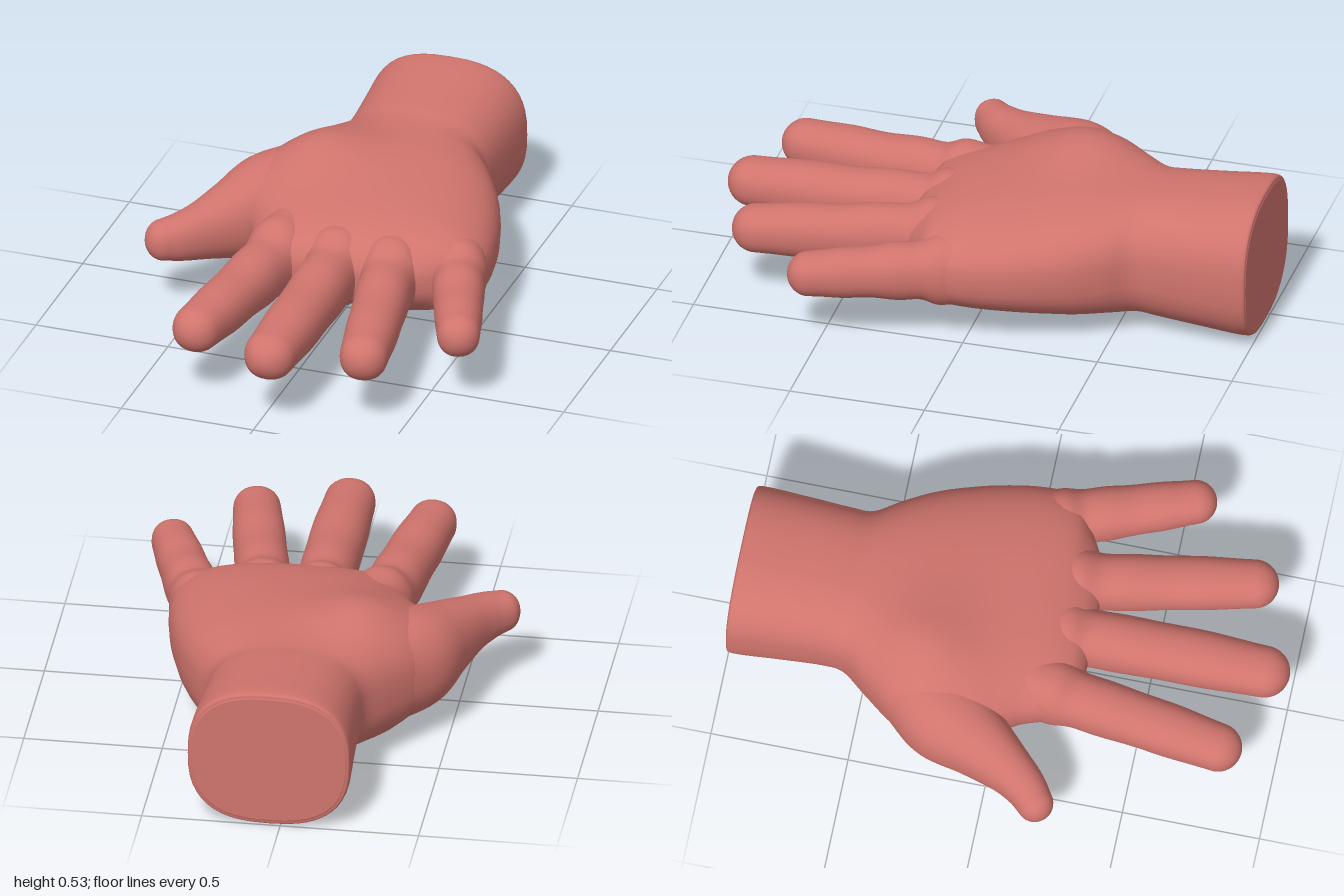
import * as THREE from 'three';

const MID = 0.28; // height of the hand's middle plane
const SEG = 48;

// Skins closed rings [x, z, halfWidth, halfHeight, dirX, dirZ] into a smooth surface.
function skin(rings, power, swell) {
  const pos = [], idx = [];
  const bend = (v) => Math.sign(v) * Math.abs(v) ** (2 / power);
  rings.forEach(([x, z, w, h, dx, dz], i) => {
    for (let j = 0; j < SEG; j++) {
      const a = (j / SEG) * Math.PI * 2;
      const s = bend(Math.cos(a)) * w;
      const px = x + dz * s, pz = z - dx * s;
      const height = h + (swell ? swell(px, pz) : 0);
      pos.push(px, MID + bend(Math.sin(a)) * height, pz);
      if (i === rings.length - 1) continue;
      const p = i * SEG + j, q = i * SEG + ((j + 1) % SEG);
      idx.push(p, q, p + SEG, q, q + SEG, p + SEG);
    }
  });
  const g = new THREE.BufferGeometry();
  g.setAttribute('position', new THREE.Float32BufferAttribute(pos, 3));
  g.setIndex(idx);
  g.computeVertexNormals();
  return g;
}

// Smoothly fills in the few given sections [x, z, halfWidth, halfHeight].
function refine(sections, steps, straight) {
  const curve = (f) => new THREE.CatmullRomCurve3(sections.map(f), false, 'catmullrom', 0.5);
  const path = curve((s) => new THREE.Vector3(s[0], 0, s[1]));
  const size = curve((s) => new THREE.Vector3(s[2], s[3], 0));
  return Array.from({ length: steps + 1 }, (_, i) => {
    const t = i / steps, p = path.getPoint(t), r = size.getPoint(t);
    const d = straight ? new THREE.Vector3(0, 0, 1) : path.getTangent(t);
    return [p.x, p.z, r.x, r.y, d.x, d.z];
  });
}

// A tapering digit with joint swellings and a round tip.
function digitGeometry(sections, ripple) {
  const rings = refine(sections, 36, false);
  rings.forEach((r, i) => {
    const t = i / 36;
    r[3] *= 1 + ripple * Math.sin(t * Math.PI) * Math.cos(t * Math.PI * 7);
    r[2] *= 1 + ripple * 0.4 * Math.sin(t * Math.PI) * Math.cos(t * Math.PI * 7);
  });
  const [x, z, w, h, dx, dz] = rings[rings.length - 1];
  for (let i = 1; i <= 10; i++) {
    const a = (i / 10) * Math.PI / 2, c = Math.max(Math.cos(a), 0.001), f = Math.sin(a) * w;
    rings.push([x + dx * f, z + dz * f, w * c, h * c, dx, dz]);
  }
  return skin(rings, 2.2);
}

export function createModel() {
  const hand = new THREE.Group();
  hand.name = 'hand';
  const skinTone = new THREE.MeshStandardMaterial({ color: 0xd0746d });
  skinTone.name = 'skin';
  const add = (name, geometry) => {
    const mesh = new THREE.Mesh(geometry, skinTone);
    mesh.name = name;
    hand.add(mesh);
  };

  // Palm and wrist: [z, left edge, right edge, half height]
  const outline = [
    [-1, -0.235, 0.32, 0.245], [-0.975, -0.252, 0.337, 0.265], [-0.8, -0.243, 0.332, 0.25],
    [-0.65, -0.237, 0.325, 0.236], [-0.57, -0.25, 0.33, 0.226], [-0.48, -0.32, 0.39, 0.224],
    [-0.36, -0.41, 0.455, 0.224], [-0.22, -0.475, 0.505, 0.216], [-0.1, -0.46, 0.535, 0.205],
    [0, -0.39, 0.55, 0.192], [0.08, -0.335, 0.55, 0.178], [0.15, -0.31, 0.52, 0.158],
    [0.2, -0.295, 0.43, 0.135], [0.25, -0.27, 0.34, 0.1], [0.28, -0.2, 0.27, 0.05],
    [0.285, -0.02, 0.08, 0.002],
  ];
  const palm = refine(outline.map(([z, l, r, h]) => [(l + r) / 2, z, (r - l) / 2, h]), 90, true);
  // Fleshy mound at the base of the thumb
  const mound = (x, z) => 0.055 * Math.exp(-(((x + 0.2) / 0.17) ** 2) - ((z + 0.27) / 0.17) ** 2);
  add('palmAndWrist', skin(palm, 2.6, mound));

  // Flat end of the wrist
  const end = palm[0];
  add('wristEnd', skin([[end[0], end[1], 0.0005, 0.0005, 0, 1], end], 2.6));

  // Digits: sections of [x, z, halfWidth, halfHeight] from the root to the tip
  const digits = {
    thumb: [[-0.27, -0.3, 0.15, 0.19], [-0.36, -0.17, 0.165, 0.185], [-0.44, -0.03, 0.125, 0.145],
      [-0.515, 0.09, 0.09, 0.108], [-0.57, 0.16, 0.076, 0.09], [-0.622, 0.206, 0.066, 0.076]],
    indexFinger: [[-0.16, 0, 0.11, 0.15], [-0.19, 0.18, 0.112, 0.145], [-0.212, 0.32, 0.098, 0.112],
      [-0.245, 0.56, 0.096, 0.1], [-0.283, 0.805, 0.086, 0.085]],
    middleFinger: [[0.03, 0, 0.11, 0.15], [0.03, 0.18, 0.115, 0.148], [0.033, 0.32, 0.1, 0.116],
      [0.035, 0.6, 0.102, 0.106], [0.032, 0.91, 0.092, 0.088]],
    ringFinger: [[0.2, 0, 0.11, 0.15], [0.235, 0.18, 0.112, 0.145], [0.258, 0.32, 0.098, 0.112],
      [0.305, 0.56, 0.096, 0.1], [0.352, 0.81, 0.086, 0.086]],
    littleFinger: [[0.41, -0.04, 0.11, 0.14], [0.455, 0.09, 0.105, 0.128], [0.495, 0.2, 0.094, 0.104],
      [0.555, 0.37, 0.088, 0.092], [0.615, 0.54, 0.077, 0.08]],
  };
  for (const [name, sections] of Object.entries(digits)) {
    add(name, digitGeometry(sections, name === 'thumb' ? 0 : 0.05));
  }
  return hand;
}
